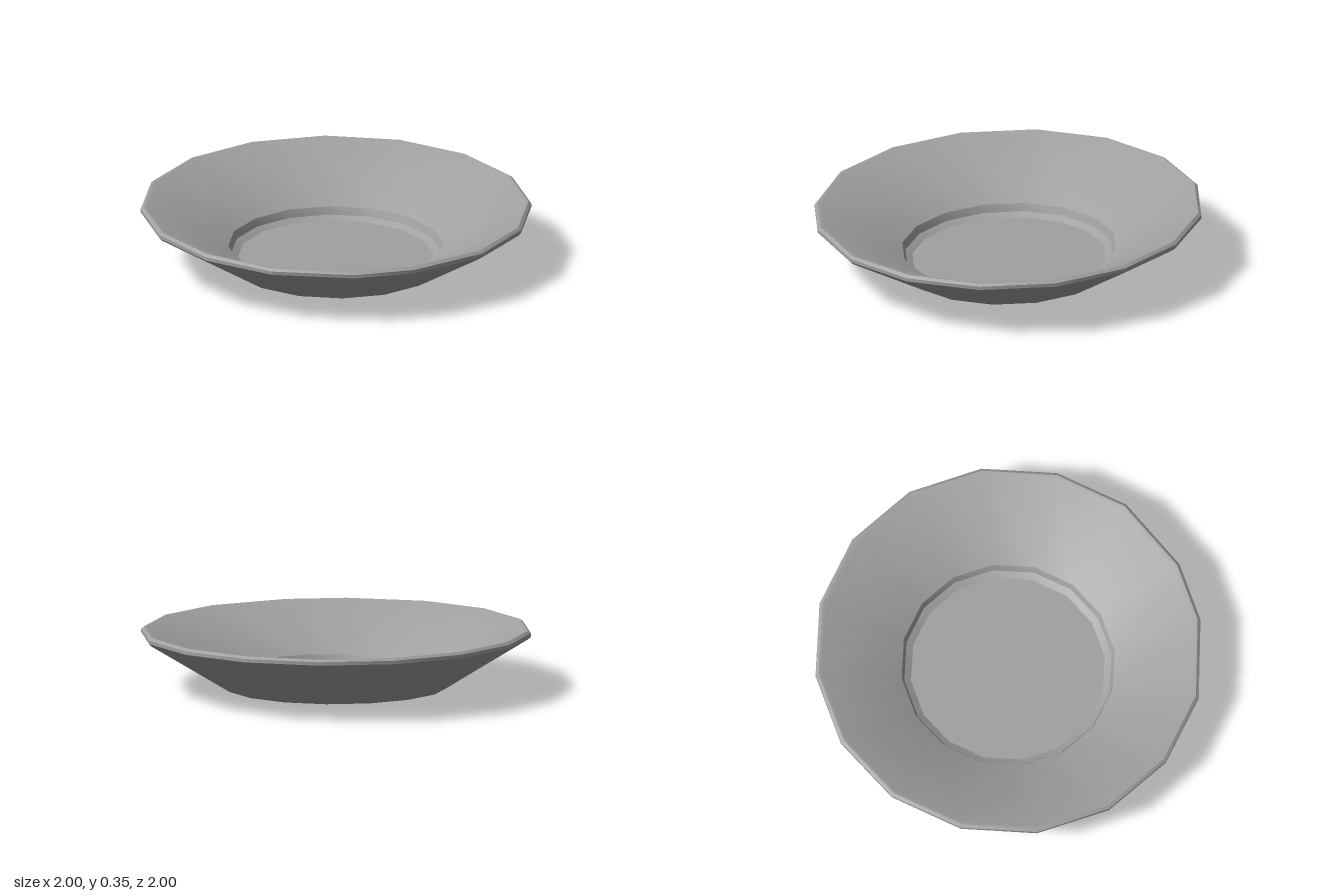
import * as THREE from 'three';
import { toCreasedNormals } from 'three/addons/utils/BufferGeometryUtils.js';

const SIDES = 16;
const TILT = 0.027;

// Closed cross-section: [distance from axis to the flat of a side, height]
const PROFILE = [
  [0, 0], [0.57, 0],                                      // underside
  [0.988, 0.262], [1, 0.275], [1, 0.293],                 // outer wall and rim edge
  [0.985, 0.305], [0.967, 0.302],                         // rim top
  [0.55, 0.08], [0.535, 0.04], [0.5, 0.02],               // inner wall and step
  [0, 0.02],                                              // floor
];

export function createModel() {
  const group = new THREE.Group();
  group.name = 'plate';

  const grey = new THREE.MeshStandardMaterial({ color: 0xa0a0a0 });
  grey.name = 'grey';

  // Sides are turned half a step so flats face the axes
  const half = Math.PI / SIDES;
  const points = PROFILE.map(([r, y]) => new THREE.Vector2(r / Math.cos(half), y));
  const lathe = new THREE.LatheGeometry(points, SIDES, half);

  // The front edge of the rim is slightly narrower
  const pos = lathe.attributes.position;
  for (let i = 0; i < pos.count; i++) {
    if (pos.getZ(i) > 0.9) pos.setX(i, pos.getX(i) * 0.82);
  }

  // The dish leans forward a little, resting on its front edge
  lathe.rotateX(TILT);
  lathe.translate(0, 0.57 * Math.sin(TILT), -0.0076);

  const dish = new THREE.Mesh(toCreasedNormals(lathe, 0.42), grey);
  dish.name = 'dish';
  group.add(dish);
  return group;
}
